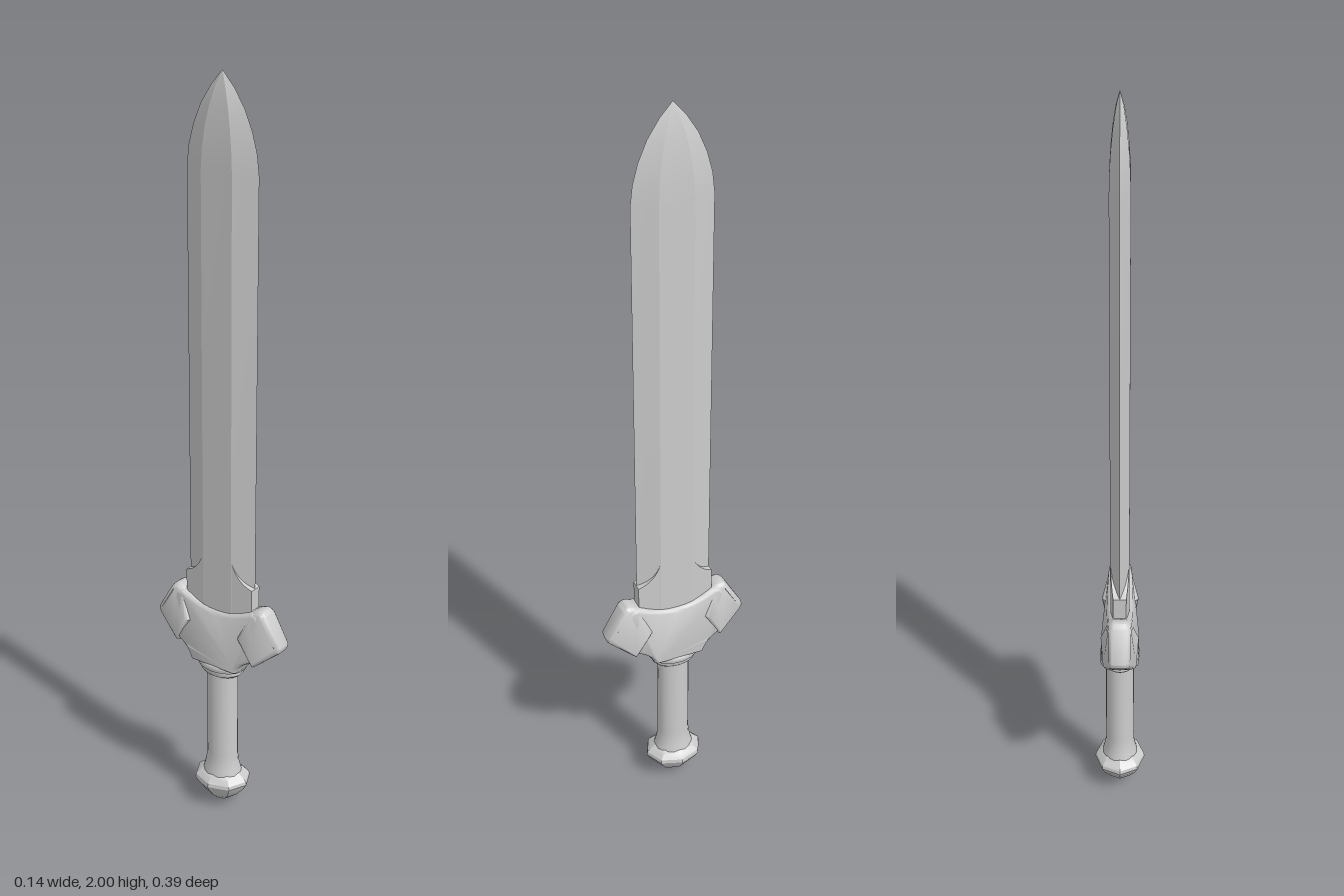
import * as THREE from 'three';
import { toCreasedNormals } from 'three/addons/utils/BufferGeometryUtils.js';

const lerp = THREE.MathUtils.lerp;
const clamp = THREE.MathUtils.clamp;

function addMesh(group, name, geo, crease = 0.6) {
  const flat = geo.index ? geo.toNonIndexed() : geo;
  const material = new THREE.MeshStandardMaterial({ color: 0xcccccc });
  const m = new THREE.Mesh(toCreasedNormals(flat, crease), material);
  m.name = name;
  group.add(m);
  return m;
}

// Turned part with an oval plan, profile points are [radius, y]
function turned(profile, sides, xScale) {
  const g = new THREE.LatheGeometry(profile.map(p => new THREE.Vector2(p[0], p[1])), sides);
  return g.scale(xScale, 1, 1);
}

// Outline in (z, y) given thickness along x; halfThickness(z, y) shapes the faces
function slab(shape, bevel, halfThickness) {
  const on = bevel > 0;
  const g = new THREE.ExtrudeGeometry(shape, {
    depth: 1, curveSegments: 8, bevelEnabled: on, bevelSegments: 3,
    bevelThickness: 0.5, bevelSize: bevel, bevelOffset: -bevel,
  });
  g.translate(0, 0, -0.5).rotateY(-Math.PI / 2);
  const p = g.attributes.position;
  const full = on ? 1 : 0.5;
  for (let i = 0; i < p.count; i++) {
    p.setX(i, p.getX(i) / full * halfThickness(Math.abs(p.getZ(i)), p.getY(i)));
  }
  return g;
}

// Six-sided bevelled blade lofted through rows of [y, half width, half thickness]
function bladeGeometry() {
  const rows = [[0.55, 0.104, 0.025], [1.77, 0.104, 0.025], [1.82, 0.098, 0.024],
    [1.87, 0.084, 0.021], [1.92, 0.062, 0.016], [1.965, 0.032, 0.009], [2, 0, 0]];
  const section = [[0, 1], [1, 0.43], [1, -0.43], [0, -1], [-1, -0.43], [-1, 0.43]];
  const pos = [], n = section.length;
  const at = (r, k) => {
    const [y, w, t] = rows[r], [sx, sz] = section[k % n];
    return [sx * t, y, sz * w];
  };
  for (let r = 0; r < rows.length - 1; r++) {
    for (let k = 0; k < n; k++) {
      const a = at(r, k), b = at(r, k + 1), c = at(r + 1, k + 1), d = at(r + 1, k);
      pos.push(...a, ...b, ...c);
      if (r < rows.length - 2) pos.push(...a, ...c, ...d);
    }
  }
  const g = new THREE.BufferGeometry();
  g.setAttribute('position', new THREE.Float32BufferAttribute(pos, 3));
  return g;
}

export function createModel() {
  const sword = new THREE.Group();
  sword.name = 'sword';

  addMesh(sword, 'blade', bladeGeometry(), 0.3);

  // Blunt shoulders at the foot of the blade, ending in a scooped curve
  for (const s of [1, -1]) {
    const shape = new THREE.Shape();
    shape.moveTo(s * 0.045, 0.55);
    shape.lineTo(s * 0.105, 0.55);
    shape.lineTo(s * 0.105, 0.70);
    shape.quadraticCurveTo(s * 0.06, 0.715, s * 0.045, 0.77);
    shape.closePath();
    addMesh(sword, 'bladeShoulder',
      slab(shape, 0, z => lerp(0.0245, 0.017, (z - 0.045) / 0.06)), 0.4);
  }

  // Guard body with a scooped top and a waist above the collar
  const body = new THREE.Shape();
  body.moveTo(-0.07, 0.45);
  body.lineTo(0.07, 0.45);
  body.quadraticCurveTo(0.08, 0.485, 0.125, 0.495);
  body.lineTo(0.18, 0.56);
  body.lineTo(0.13, 0.64);
  body.quadraticCurveTo(0.11, 0.645, 0.10, 0.638);
  body.quadraticCurveTo(0, 0.592, -0.10, 0.638);
  body.quadraticCurveTo(-0.11, 0.645, -0.13, 0.64);
  body.lineTo(-0.18, 0.56);
  body.lineTo(-0.125, 0.495);
  body.quadraticCurveTo(-0.08, 0.485, -0.07, 0.45);
  addMesh(sword, 'guardBody', slab(body, 0.012, (z, y) => {
    const byHeight = lerp(0.052, 0.032, clamp((y - 0.46) / 0.17, 0, 1));
    return Math.min(byHeight, lerp(0.052, 0.022, clamp((z - 0.07) / 0.11, 0, 1)));
  }), 0.8);

  // Raised, slanted blocks at the ends of the guard
  for (const s of [1, -1]) {
    const arm = new THREE.Shape();
    arm.moveTo(s * 0.122, 0.485);
    arm.lineTo(s * 0.19, 0.542);
    arm.quadraticCurveTo(s * 0.202, 0.553, s * 0.194, 0.568);
    arm.lineTo(s * 0.152, 0.638);
    arm.quadraticCurveTo(s * 0.142, 0.654, s * 0.124, 0.648);
    arm.lineTo(s * 0.105, 0.64);
    arm.lineTo(s * 0.075, 0.565);
    arm.closePath();
    addMesh(sword, 'guardArm', slab(arm, 0.012, (z, y) => {
      const byWidth = lerp(0.056, 0.026, clamp((z - 0.08) / 0.11, 0, 1));
      return Math.min(byWidth, 0.028 + Math.max(0, 0.64 - y) * 0.3);
    }), 0.8);
  }

  // Two stepped rings under the guard
  addMesh(sword, 'collar', turned([[0, 0.422], [0.056, 0.422], [0.062, 0.428], [0.062, 0.438],
    [0.069, 0.441], [0.072, 0.448], [0.069, 0.457], [0.06, 0.463], [0, 0.463]], 24, 0.76), 0.7);

  addMesh(sword, 'grip', turned([[0.056, 0.1], [0.051, 0.118], [0.046, 0.14],
    [0.044, 0.165], [0.044, 0.43]], 20, 0.88), 0.7);

  // Eight-sided pointed pommel
  addMesh(sword, 'pommel', turned([[0, 0.003], [0.022, 0.013], [0.048, 0.034], [0.072, 0.062],
    [0.081, 0.078], [0.079, 0.088], [0.066, 0.1], [0.054, 0.108], [0, 0.108]], 8, 0.86), 0.5);

  return sword;
}
